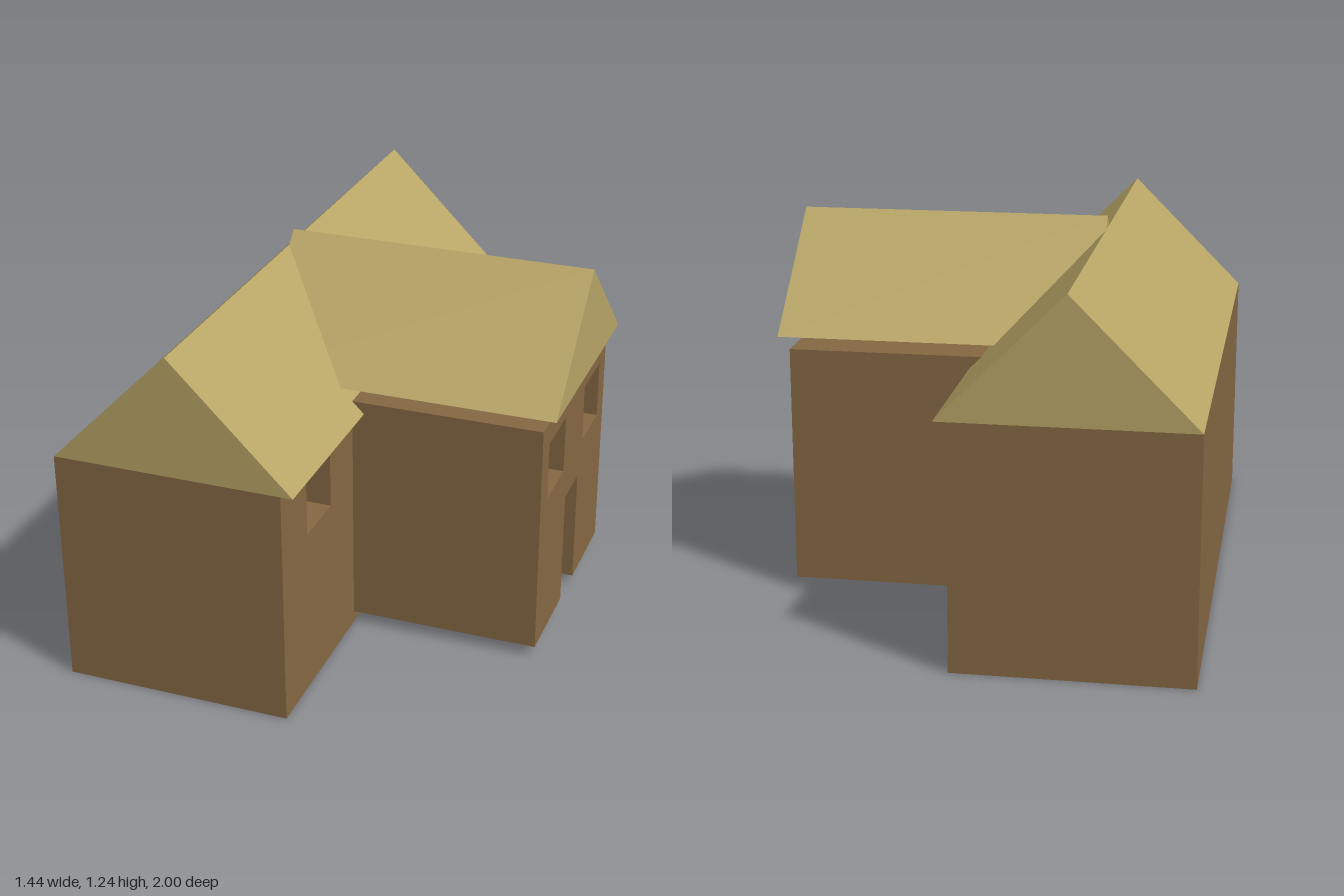
import * as THREE from 'three';
import { mergeGeometries } from 'three/addons/utils/BufferGeometryUtils.js';

const wallMat = new THREE.MeshStandardMaterial({ color: 0x856843, flatShading: true, side: THREE.DoubleSide });
const roofMat = new THREE.MeshStandardMaterial({ color: 0xb8a566, flatShading: true, side: THREE.DoubleSide });

function rect(PathType, a0, b0, a1, b1) {
  const p = new PathType();
  p.moveTo(a0, b0);
  p.lineTo(a1, b0);
  p.lineTo(a1, b1);
  p.lineTo(a0, b1);
  p.closePath();
  return p;
}

function plane(w, h, rx, ry, x, y, z) {
  return new THREE.PlaneGeometry(w, h).rotateX(rx).rotateY(ry).translate(x, y, z);
}

// Bottomless box whose +x wall has windows [z0, z1, y0, y1] and an optional doorway
function shell([x0, x1], [y0, y1], [z0, z1], windows, door, depth) {
  const w = x1 - x0, h = y1 - y0, d = z1 - z0;
  const cx = (x0 + x1) / 2, cy = (y0 + y1) / 2, cz = (z0 + z1) / 2;
  const q = Math.PI / 2;
  const parts = [
    plane(w, h, 0, 0, cx, cy, z1),
    plane(w, h, 0, 2 * q, cx, cy, z0),
    plane(d, h, 0, -q, x0, cy, cz),
    plane(w, d, -q, 0, cx, y1, cz),
  ];
  // Pierced wall, drawn with -z running to the right
  const wall = new THREE.Shape();
  wall.moveTo(-z1, y0);
  if (door) {
    wall.lineTo(-door[1], y0);
    wall.lineTo(-door[1], door[3]);
    wall.lineTo(-door[0], door[3]);
    wall.lineTo(-door[0], y0);
  }
  wall.lineTo(-z0, y0);
  wall.lineTo(-z0, y1);
  wall.lineTo(-z1, y1);
  wall.closePath();
  for (const [a, b, c, e] of windows) wall.holes.push(rect(THREE.Path, -b, c, -a, e));
  parts.push(new THREE.ShapeGeometry(wall).rotateY(q).translate(x1, 0, 0));
  // Reveals around each opening
  const jx = x1 - depth / 2;
  for (const o of door ? [...windows, door] : windows) {
    const [a, b, c, e] = o;
    parts.push(plane(depth, e - c, 0, 0, jx, (c + e) / 2, a));
    parts.push(plane(depth, e - c, 0, 2 * q, jx, (c + e) / 2, b));
    parts.push(plane(depth, b - a, q, 0, jx, e, (a + b) / 2));
    if (o !== door) parts.push(plane(depth, b - a, -q, 0, jx, c, (a + b) / 2));
  }
  return mergeGeometries(parts);
}

// Openings carried from the outer shell to the smaller inner one
function fit(o, sz, oz, sy, base) {
  const y = v => base + (v - base) * sy;
  return [o[0] * sz + oz, o[1] * sz + oz, y(o[2]), y(o[3])];
}

// Triangular prism with its profile in XY, running along z
function prism(half, rise, length) {
  const s = new THREE.Shape([
    new THREE.Vector2(-half, 0), new THREE.Vector2(half, 0), new THREE.Vector2(0, rise),
  ]);
  return new THREE.ExtrudeGeometry(s, { depth: length, bevelEnabled: false }).translate(0, 0, -length / 2);
}

export function createModel() {
  const house = new THREE.Group();
  house.name = 'house';
  const add = (name, geometry, material) => {
    const m = new THREE.Mesh(geometry, material);
    m.name = name;
    house.add(m);
    return m;
  };
  const floor = shape => new THREE.ShapeGeometry(shape).rotateX(Math.PI / 2);

  // Long main block, open underneath
  const mainWindows = [[0.6, 0.8, 0.56, 0.76], [-0.84, -0.64, 0.56, 0.76]];
  add('mainWalls', shell([-0.72, 0.04], [0, 0.8], [-1, 1], mainWindows, null, 0.09), wallMat);
  add('mainInnerWalls', shell([-0.65, -0.055], [0, 0.68], [-0.84, 0.92],
    mainWindows.map(o => fit(o, 0.878, 0.037, 0.855, 0)), null, 0.07), wallMat);
  const ring = rect(THREE.Shape, -0.72, -1, 0.04, 1);
  ring.holes.push(rect(THREE.Path, -0.65, -0.84, -0.055, 0.92));
  add('mainFootRing', floor(ring), wallMat);

  // Cubic side wing with a doorway
  const wingWindows = [[0.12, 0.32, 0.56, 0.76], [-0.32, -0.12, 0.56, 0.76]];
  const door = [-0.08, 0.08, 0.04, 0.44];
  add('wingWalls', shell([-0.12, 0.68], [0.04, 0.84], [-0.4, 0.4], wingWindows, door, 0.1), wallMat);
  add('wingInnerWalls', shell([-0.05, 0.575], [0.04, 0.76], [-0.356, 0.316],
    wingWindows.map(o => fit(o, 0.84, -0.02, 0.9, 0.04)), fit(door, 0.84, -0.02, 0.9, 0.04), 0.08), wallMat);
  // Wing floor, notched at the threshold
  const notched = new THREE.Shape([
    [-0.12, -0.4], [0.68, -0.4], [0.68, -0.08], [0.56, -0.08],
    [0.56, 0.08], [0.68, 0.08], [0.68, 0.4], [-0.12, 0.4],
  ].map(p => new THREE.Vector2(...p)));
  add('wingFloor', floor(notched).translate(0, 0.04, 0), wallMat);

  // Crossing gable roofs
  add('mainRoof', prism(0.4, 0.4, 2), roofMat).position.set(-0.32, 0.8, 0);
  const wingRoof = add('wingRoof', prism(0.4, 0.36, 1.04), roofMat);
  wingRoof.rotation.y = Math.PI / 2;
  wingRoof.position.set(0.2, 0.88, 0);

  return house;
}
